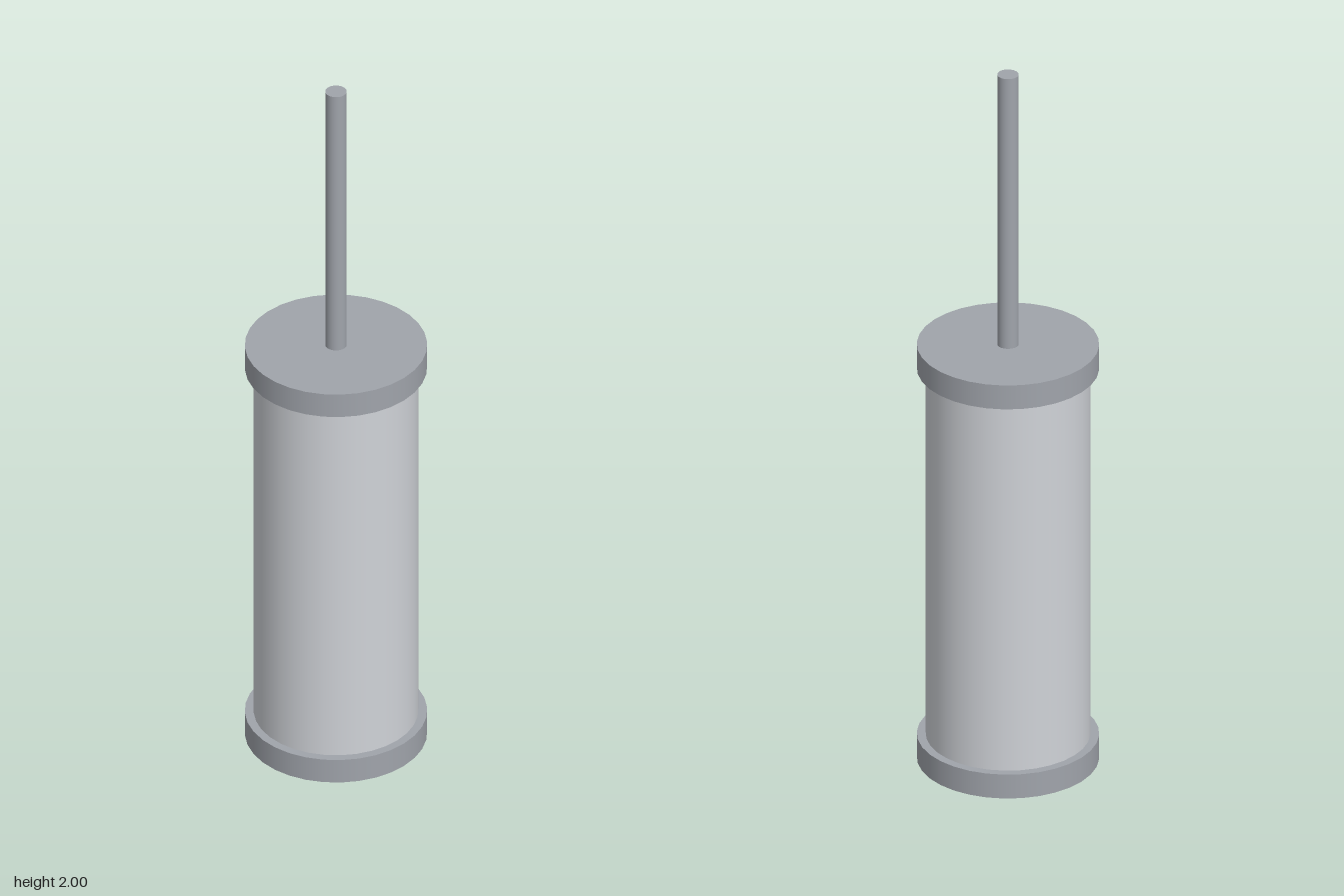
import * as THREE from 'three';

export function createModel() {
  const model = new THREE.Group();
  const darkMetal = new THREE.MeshStandardMaterial({ name: 'dark metal', color: 0xa0a4ab });
  const lightMetal = new THREE.MeshStandardMaterial({ name: 'light metal', color: 0xd0d3d8 });

  // Upright cylinder between two heights
  function addCylinder(name, radius, bottom, top, material) {
    const geometry = new THREE.CylinderGeometry(radius, radius, top - bottom, 32);
    const mesh = new THREE.Mesh(geometry, material);
    mesh.name = name;
    mesh.position.y = (bottom + top) / 2;
    model.add(mesh);
  }

  // Holder: base ring, body and lid
  addCylinder('base', 0.238, 0, 0.07, darkMetal);
  addCylinder('body', 0.215, 0.07, 1.14, lightMetal);
  addCylinder('lid', 0.238, 1.14, 1.21, darkMetal);

  // Thin handle rising from the lid
  addCylinder('handle', 0.028, 1.21, 2, darkMetal);

  return model;
}
